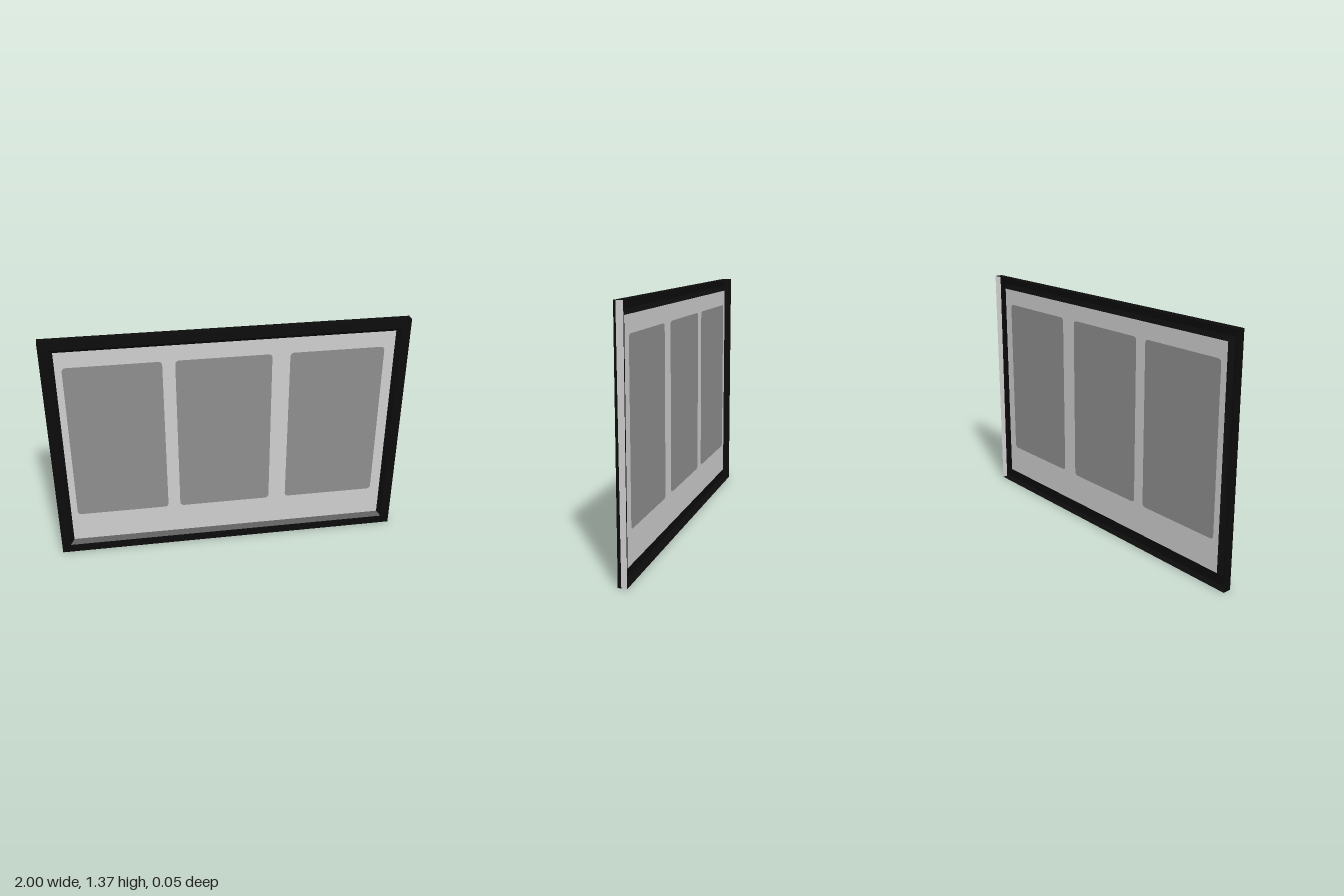
import * as THREE from 'three';

const W = 1, H = 1.365, D = 0.024;

const frameBlack = new THREE.MeshStandardMaterial({ color: 0x0b0b0b, side: THREE.DoubleSide });
const matGrey = new THREE.MeshStandardMaterial({ color: 0xcecece, side: THREE.DoubleSide });
const paneGrey = new THREE.MeshStandardMaterial({ color: 0x8e8e8e, side: THREE.DoubleSide });
frameBlack.name = 'frame black';
matGrey.name = 'mat grey';
paneGrey.name = 'pane grey';

// Flat-shaded surface from a list of four-cornered faces (counter-clockwise)
function quads(list) {
  const pos = [];
  for (const [a, b, c, d] of list) pos.push(...a, ...b, ...c, ...a, ...c, ...d);
  const g = new THREE.BufferGeometry();
  g.setAttribute('position', new THREE.Float32BufferAttribute(pos, 3));
  g.computeVertexNormals();
  return g;
}

// Rectangle corners at an inset from the outer edge, starting bottom right
const ring = (inset, z) => [
  [W - inset, inset, z], [W - inset, H - inset, z],
  [-W + inset, H - inset, z], [-W + inset, inset, z],
];

function roundedRect(target, x0, y0, x1, y1, r) {
  target.moveTo(x0 + r, y0);
  target.lineTo(x1 - r, y0);
  target.quadraticCurveTo(x1, y0, x1, y0 + r);
  target.lineTo(x1, y1 - r);
  target.quadraticCurveTo(x1, y1, x1 - r, y1);
  target.lineTo(x0 + r, y1);
  target.quadraticCurveTo(x0, y1, x0, y1 - r);
  target.lineTo(x0, y0 + r);
  target.quadraticCurveTo(x0, y0, x0 + r, y0);
  return target;
}

export function createModel() {
  const model = new THREE.Group();
  model.name = 'tripleFrame';
  const add = (name, geometry, material) => {
    const mesh = new THREE.Mesh(geometry, material);
    mesh.name = name;
    model.add(mesh);
  };

  // Open-backed frame: outer walls, front face, inner slope to the mat
  const rings = [ring(0, -D), ring(0, D), ring(0.05, D), ring(0.073, 0)];
  const faces = [];
  for (let k = 0; k < 3; k++) {
    for (let i = 0; i < 4; i++) {
      if (k === 0 && i === 0) continue; // left wall is two-coloured
      const j = (i + 1) % 4;
      faces.push([rings[k][i], rings[k][j], rings[k + 1][j], rings[k + 1][i]]);
    }
  }
  // Left wall: black front edge, grey behind a slightly slanting border
  const low = [W, 0, 0.006], high = [W, H, 0.013];
  faces.push([low, high, [W, H, D], [W, 0, D]]);
  add('frame', quads(faces), frameBlack);
  add('leftWall', quads([[[W, 0, -D], [W, H, -D], high, low]]), matGrey);

  // Mat with three rounded openings, each filled by a pane
  const mat = roundedRect(new THREE.Shape(), -W + 0.073, 0.073, W - 0.073, H - 0.073, 0.001);
  for (const x of [-0.89, -0.29, 0.34]) {
    const opening = [x, 0.25, x + 0.53, 1.2, 0.025];
    mat.holes.push(roundedRect(new THREE.Path(), ...opening));
    add('pane', new THREE.ShapeGeometry(roundedRect(new THREE.Shape(), ...opening)), paneGrey);
  }
  add('mat', new THREE.ShapeGeometry(mat), matGrey);

  return model;
}
